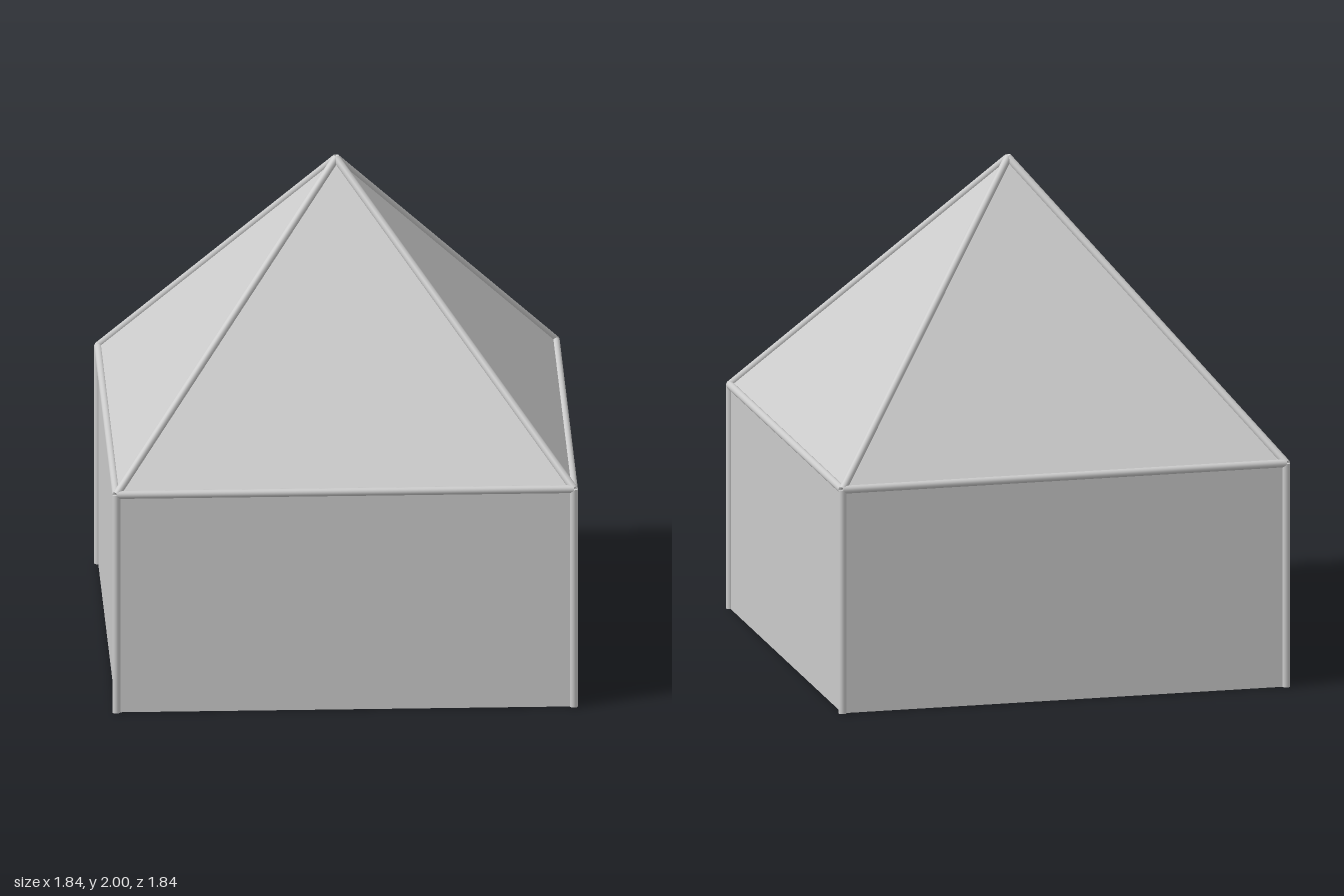
import * as THREE from 'three';

const HALF = 0.902;   // pole centre line from the middle
const EAVE = 0.906;   // height of the eave rails
const APEX = 1.987;   // centre line of the roof peak
const R = 0.016;      // pole radius

export function createModel() {
  const model = new THREE.Group();
  model.name = 'tent';
  const metal = new THREE.MeshStandardMaterial({ color: 0xcccccc });
  const cloth = new THREE.MeshStandardMaterial({ color: 0xcccccc, side: THREE.DoubleSide });

  // Round pole between two points
  const pole = (name, a, b) => {
    const dir = b.clone().sub(a);
    const mesh = new THREE.Mesh(new THREE.CylinderGeometry(R, R, dir.length(), 16), metal);
    mesh.name = name;
    mesh.position.copy(a).add(b).multiplyScalar(0.5);
    mesh.quaternion.setFromUnitVectors(new THREE.Vector3(0, 1, 0), dir.normalize());
    model.add(mesh);
  };

  // Flat fabric sheet from its corners, counter-clockwise from outside
  const sheet = (name, corners) => {
    const geo = new THREE.BufferGeometry().setFromPoints(corners);
    geo.setIndex(corners.length === 4 ? [0, 1, 2, 0, 2, 3] : [0, 1, 2]);
    geo.computeVertexNormals();
    const mesh = new THREE.Mesh(geo, cloth);
    mesh.name = name;
    model.add(mesh);
  };

  const apex = new THREE.Vector3(0, APEX, 0);
  const corner = (i, y) => {
    const [x, z] = [[-1, 1], [1, 1], [1, -1], [-1, -1]][i % 4];
    return new THREE.Vector3(x * HALF, y, z * HALF);
  };

  // Each side: one post, eave rail, hip pole, wall and roof sheet
  ['front', 'left', 'back', 'right'].forEach((side, i) => {
    const base = corner(i, 0), top = corner(i, EAVE);
    const nextBase = corner(i + 1, 0), nextTop = corner(i + 1, EAVE);
    pole(`${side}CornerPost`, base, top);
    pole(`${side}EaveRail`, top, nextTop);
    pole(`${side}HipPole`, top, apex);
    sheet(`${side}Wall`, [base, nextBase, nextTop, top]);
    sheet(`${side}RoofPanel`, [top, nextTop, apex]);
  });

  return model;
}
